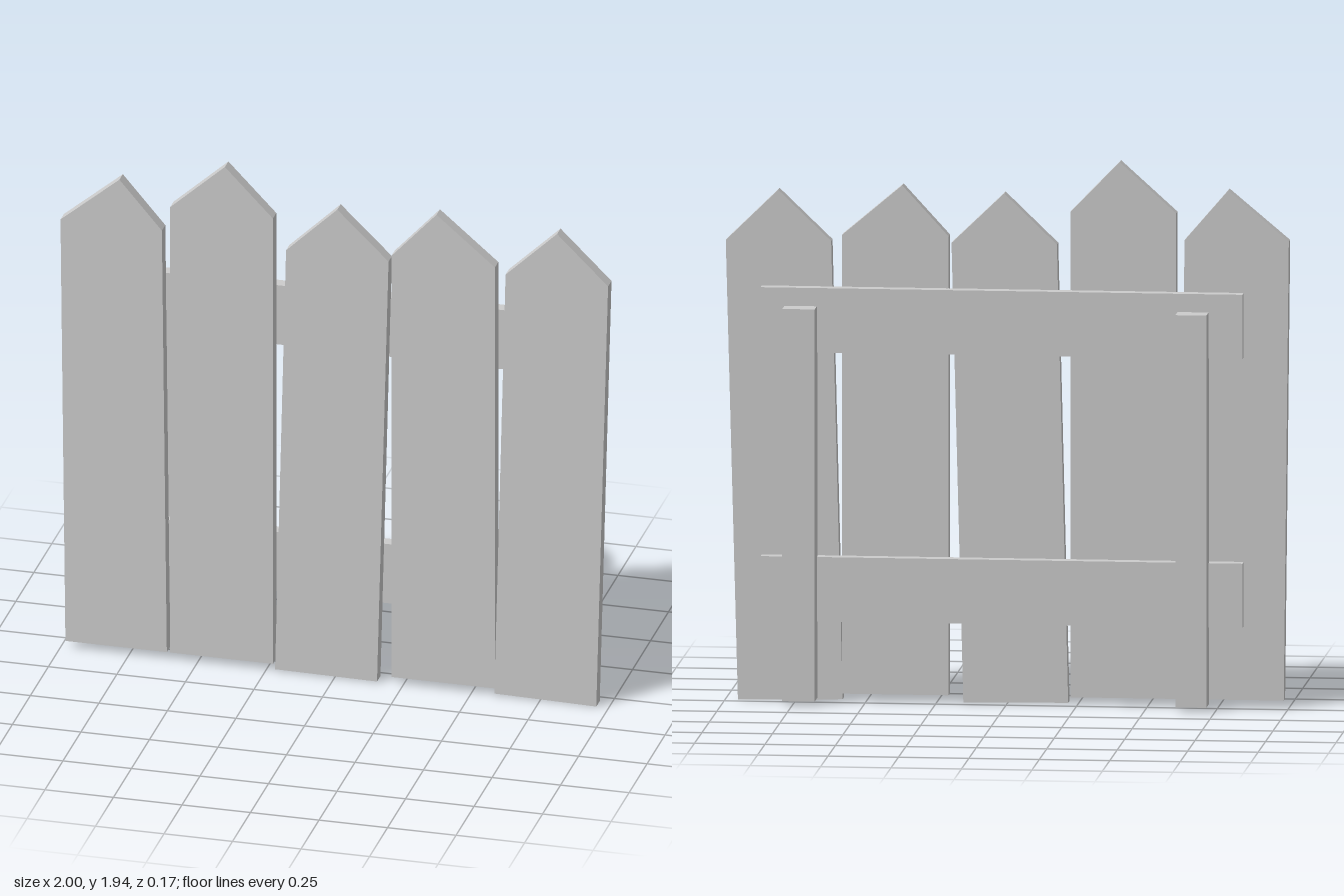
import * as THREE from 'three';

const material = new THREE.MeshStandardMaterial({ color: 0xcccccc, flatShading: true });

// Pointed board: front outline extruded through its thickness
function picket(name, outline) {
  const shape = new THREE.Shape(outline.map(([x, y]) => new THREE.Vector2(x, y)));
  const geometry = new THREE.ExtrudeGeometry(shape, { depth: 0.048, bevelEnabled: false });
  const mesh = new THREE.Mesh(geometry, material);
  mesh.position.z = 0.034;
  mesh.name = name;
  return mesh;
}

// Box given by its limits on each axis
function beam(name, [x0, x1], [y0, y1], [z0, z1]) {
  const mesh = new THREE.Mesh(new THREE.BoxGeometry(x1 - x0, y1 - y0, z1 - z0), material);
  mesh.position.set((x0 + x1) / 2, (y0 + y1) / 2, (z0 + z1) / 2);
  mesh.name = name;
  return mesh;
}

export function createModel() {
  const fence = new THREE.Group();
  fence.name = 'picketFence';

  // Pickets: bottom right, shoulder right, tip, shoulder left, bottom left
  const outlines = [
    [[-0.612, 0.027], [-0.63, 1.665], [-0.785, 1.845], [-1, 1.665], [-0.982, 0.027]],
    [[-0.225, 0.027], [-0.225, 1.76], [-0.4, 1.94], [-0.6, 1.76], [-0.6, 0.027]],
    [[0.155, 0.003], [0.197, 1.642], [0.01, 1.822], [-0.177, 1.642], [-0.217, 0.007]],
    [[0.585, 0.027], [0.585, 1.665], [0.372, 1.845], [0.207, 1.665], [0.207, 0.027]],
    [[0.955, 0], [0.998, 1.64], [0.812, 1.822], [0.624, 1.642], [0.583, 0.007]],
  ];
  outlines.forEach((outline, i) => fence.add(picket(`picket${i + 1}`, outline)));

  // Horizontal rails behind the pickets
  fence.add(beam('lowerRail', [-0.84, 0.87], [0.29, 0.52], [-0.01, 0.035]));
  fence.add(beam('upperRail', [-0.84, 0.87], [1.25, 1.48], [-0.01, 0.035]));

  // Upright posts at the back
  fence.add(beam('rightPost', [-0.72, -0.61], [0.015, 1.415], [-0.085, 0.008]));
  fence.add(beam('leftPost', [0.67, 0.785], [0.015, 1.415], [-0.085, 0.008]));

  return fence;
}
